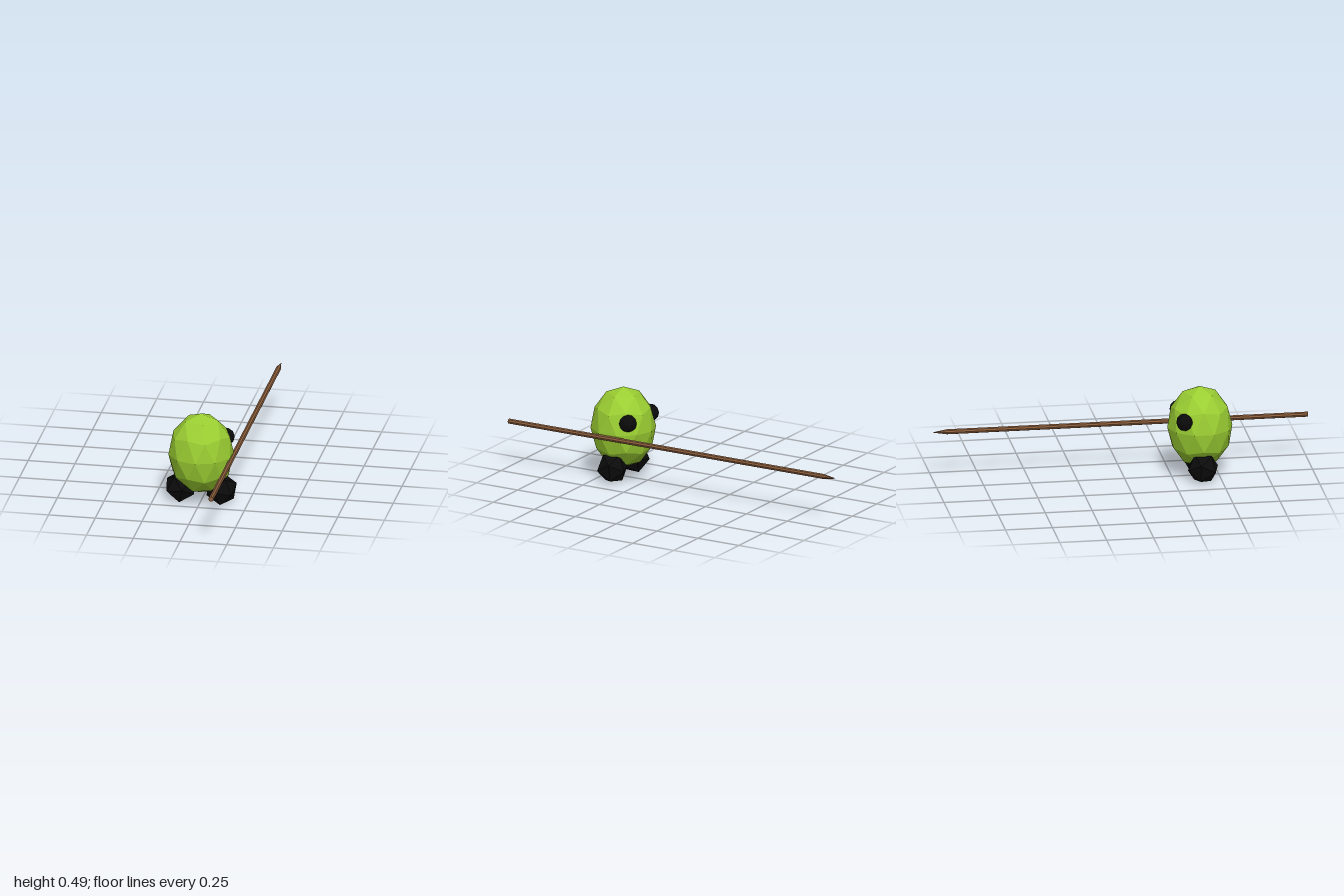
import * as THREE from 'three';

const mat = (name, color) => {
  const m = new THREE.MeshStandardMaterial({ color, flatShading: true });
  m.name = name;
  return m;
};

export function createModel() {
  const green = mat('leaf green', 0x9acd32);
  const black = mat('black', 0x0b0b0c);
  const wood = mat('brown wood', 0x8b5e3c);

  const model = new THREE.Group();
  const add = (name, geometry, material, x, y, z, parent = model) => {
    const mesh = new THREE.Mesh(geometry, material);
    mesh.name = name;
    mesh.position.set(x, y, z);
    parent.add(mesh);
    return mesh;
  };
  const deg = THREE.MathUtils.degToRad;
  const pole = Math.atan(2 / (1 + Math.sqrt(5))); // turns a corner to straight up

  // Egg-shaped faceted body, one corner at the top and one at the bottom
  const body = new THREE.IcosahedronGeometry(1, 1);
  body.rotateZ(-pole).scale(0.173, 0.221, 0.173);
  add('body', body, green, 0, 0.273, 0.4);

  // Feet and eyes, mirrored left and right
  for (const [side, s] of [['left', 1], ['right', -1]]) {
    const foot = new THREE.IcosahedronGeometry(0.086, 0);
    foot.rotateZ(Math.PI / 2).rotateY(s * deg(16)).rotateZ(-s * deg(10));
    add(`${side}Foot`, foot, black, s * 0.11, 0.0765, 0.4);

    const eye = new THREE.IcosahedronGeometry(0.047, 1);
    eye.rotateZ(-pole);
    add(`${side}Eye`, eye, black, s * 0.115, 0.336, 0.304);
  }

  // Long spear pointing backwards
  const spear = new THREE.Group();
  spear.name = 'spear';
  spear.position.set(0.166, 0.253, 0);
  model.add(spear);
  const shaft = new THREE.CylinderGeometry(0.014, 0.014, 1.92, 8).rotateX(-Math.PI / 2);
  add('spearShaft', shaft, wood, 0, 0, 0.04, spear);
  const tip = new THREE.ConeGeometry(0.014, 0.08, 8).rotateX(-Math.PI / 2);
  add('spearTip', tip, wood, 0, 0, -0.96, spear);

  return model;
}
